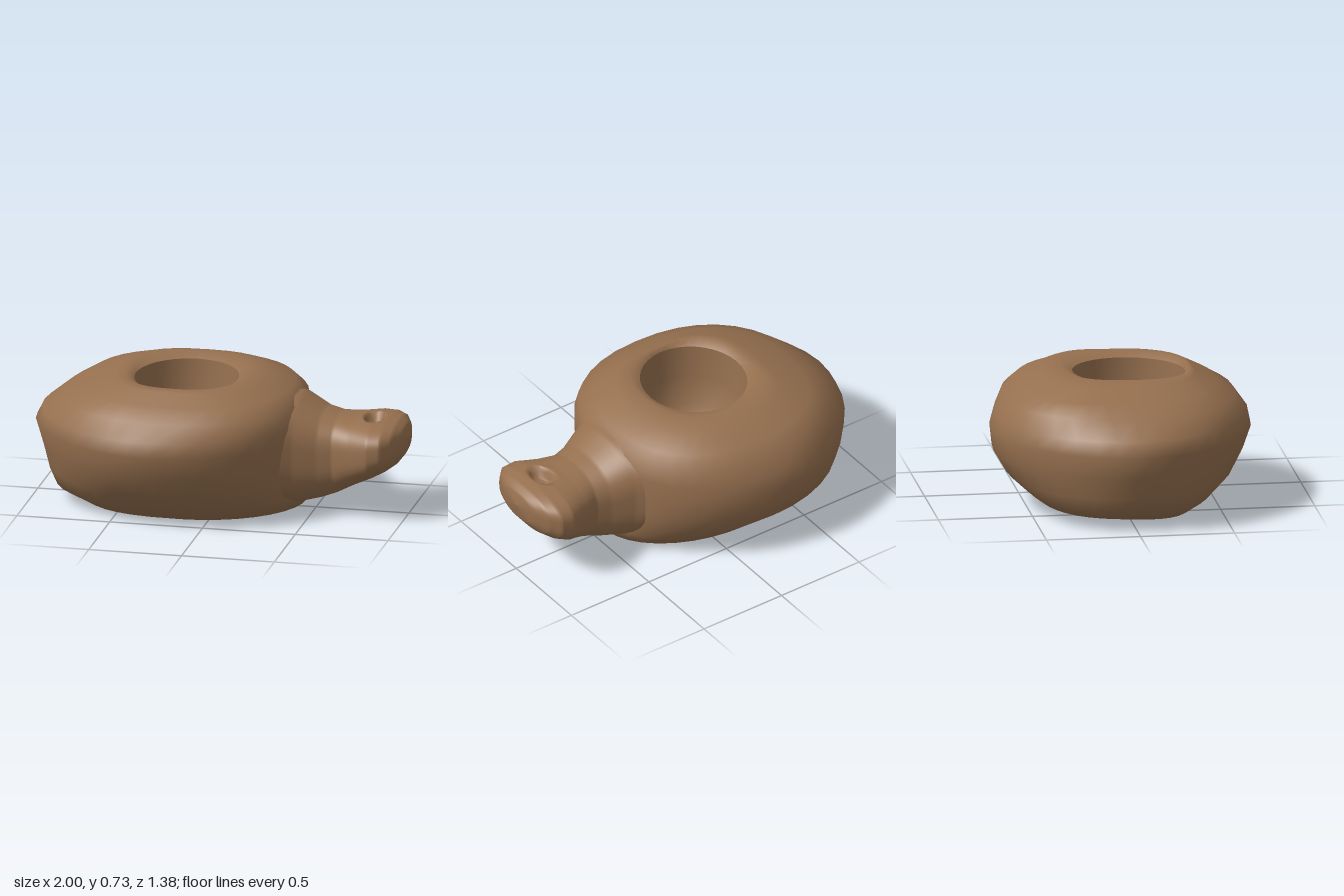
import * as THREE from 'three';

const clay = new THREE.MeshStandardMaterial({ color: 0x96704f });
clay.name = 'brown clay';

// Skin a list of equally sized closed rings of points
function loft(rings, name) {
  const n = rings[0].length, pos = [], idx = [];
  rings.forEach(r => r.forEach(p => pos.push(...p)));
  for (let i = 0; i < rings.length - 1; i++) {
    for (let j = 0; j < n; j++) {
      const a = i * n + j, b = i * n + (j + 1) % n, c = a + n, d = b + n;
      idx.push(a, c, b, b, c, d);
    }
  }
  const g = new THREE.BufferGeometry();
  g.setAttribute('position', new THREE.Float32BufferAttribute(pos, 3));
  g.setIndex(idx);
  g.computeVertexNormals();
  const mesh = new THREE.Mesh(g, clay);
  mesh.name = name;
  return mesh;
}

const bend = (v, e) => Math.sign(v) * Math.abs(v) ** e;

// Level ring: height, left, right, front, back limits, rise towards the back,
// and squareness exponents of the spout half and of the far half
function levelRing([y, x0, x1, zf, zb, rise = 0, eSpout = 1, eFar = 1], n) {
  return Array.from({ length: n }, (_, j) => {
    const a = j / n * Math.PI * 2, cos = Math.cos(a);
    const e = cos > 0 ? eSpout : eFar;
    const c = bend(cos, e), s = bend(Math.sin(a), e);
    return [
      (x0 + x1) / 2 + c * (x1 - x0) / 2,
      y + rise * (1 - s) / 2,
      (zf + zb) / 2 + s * (zf - zb) / 2,
    ];
  });
}

// Linear lookup in rows sorted by their first entry
function sample(rows, x) {
  let i = 0;
  while (i < rows.length - 2 && rows[i + 1][0] < x) i++;
  const t = (x - rows[i][0]) / (rows[i + 1][0] - rows[i][0]);
  return rows[i].map((v, k) => v + (rows[i + 1][k] - v) * t);
}

export function createModel() {
  const group = new THREE.Group();
  group.name = 'clay oil lamp';

  // Rounded body from the base up to the rim of the opening
  const body = [
    [0.02, -0.2, -0.2, -0.03, -0.03],
    [0.0, -0.73, 0.44, 0.37, -0.45, 0.05, 1.03, 0.72],
    [0.08, -0.89, 0.46, 0.465, -0.51, 0.02, 1, 0.85],
    [0.18, -0.93, 0.46, 0.58, -0.6, 0, 0.97, 0.97],
    [0.3, -0.965, 0.46, 0.65, -0.67, 0, 0.95, 1.06],
    [0.42, -1.0, 0.46, 0.69, -0.685, 0, 0.94, 1.1],
    [0.5, -0.96, 0.46, 0.675, -0.66, 0, 0.93, 1.04],
    [0.59, -0.84, 0.44, 0.61, -0.61, 0, 0.9, 0.88],
    [0.65, -0.73, 0.37, 0.5, -0.53, 0, 0.86, 0.8],
    [0.7, -0.56, 0.24, 0.4, -0.4, 0, 0.82, 0.74],
    [0.715, -0.5, 0.14, 0.37, -0.3, 0.01, 0.82, 0.76],
    [0.685, -0.46, 0.09, 0.355, -0.24, 0.01],
  ];
  group.add(loft(body.map(r => levelRing(r, 36)), 'body'));

  // Hollow inside the opening
  const bowl = [
    [0.685, -0.46, 0.09, 0.355, -0.24, 0.01],
    [0.5, -0.45, 0.08, 0.345, -0.23],
    [0.33, -0.43, 0.06, 0.325, -0.21],
    [0.27, -0.36, 0.0, 0.25, -0.13],
    [0.25, -0.18, -0.18, 0.06, 0.06],
  ];
  group.add(loft(bowl.map(r => levelRing(r, 36)), 'oilHollow'));

  // Spout sections: x, bottom, top, half width
  const spout = [
    [0.3, 0.07, 0.655, 0.37],
    [0.43, 0.045, 0.615, 0.285],
    [0.55, 0.075, 0.55, 0.235],
    [0.63, 0.105, 0.53, 0.215],
    [0.72, 0.155, 0.525, 0.245],
    [0.83, 0.21, 0.53, 0.29],
    [0.9, 0.25, 0.525, 0.28],
    [0.95, 0.285, 0.515, 0.225],
    [0.985, 0.33, 0.49, 0.14],
    [1.0, 0.37, 0.47, 0.08],
    [1.001, 0.42, 0.42, 0],
  ];
  const count = 70, around = 72, rings = [];
  for (let i = 0; i <= count; i++) {
    const [x, y0, y1, w] = sample(spout, i === count ? 1.001 : 0.3 + 0.7 * i / count);
    const mid = y0 + (y1 - y0) * 0.52;
    rings.push(Array.from({ length: around }, (_, j) => {
      const a = j / around * Math.PI * 2, c = Math.cos(a);
      // Squarish section, flattest on top
      let y = mid + (c > 0 ? c ** 0.65 * (y1 - mid) : bend(c, 0.75) * (mid - y0));
      const z = -bend(Math.sin(a), 0.88) * w;
      // Wick hole pressed into the top
      const d = Math.hypot((x - 0.82) / 0.055, (z - 0.02) / 0.085);
      if (c > 0 && d < 1) y -= 0.06 * Math.min(1, (1 - d) * 3);
      return [x, y, z];
    }));
  }
  group.add(loft(rings, 'spout'));

  return group;
}
